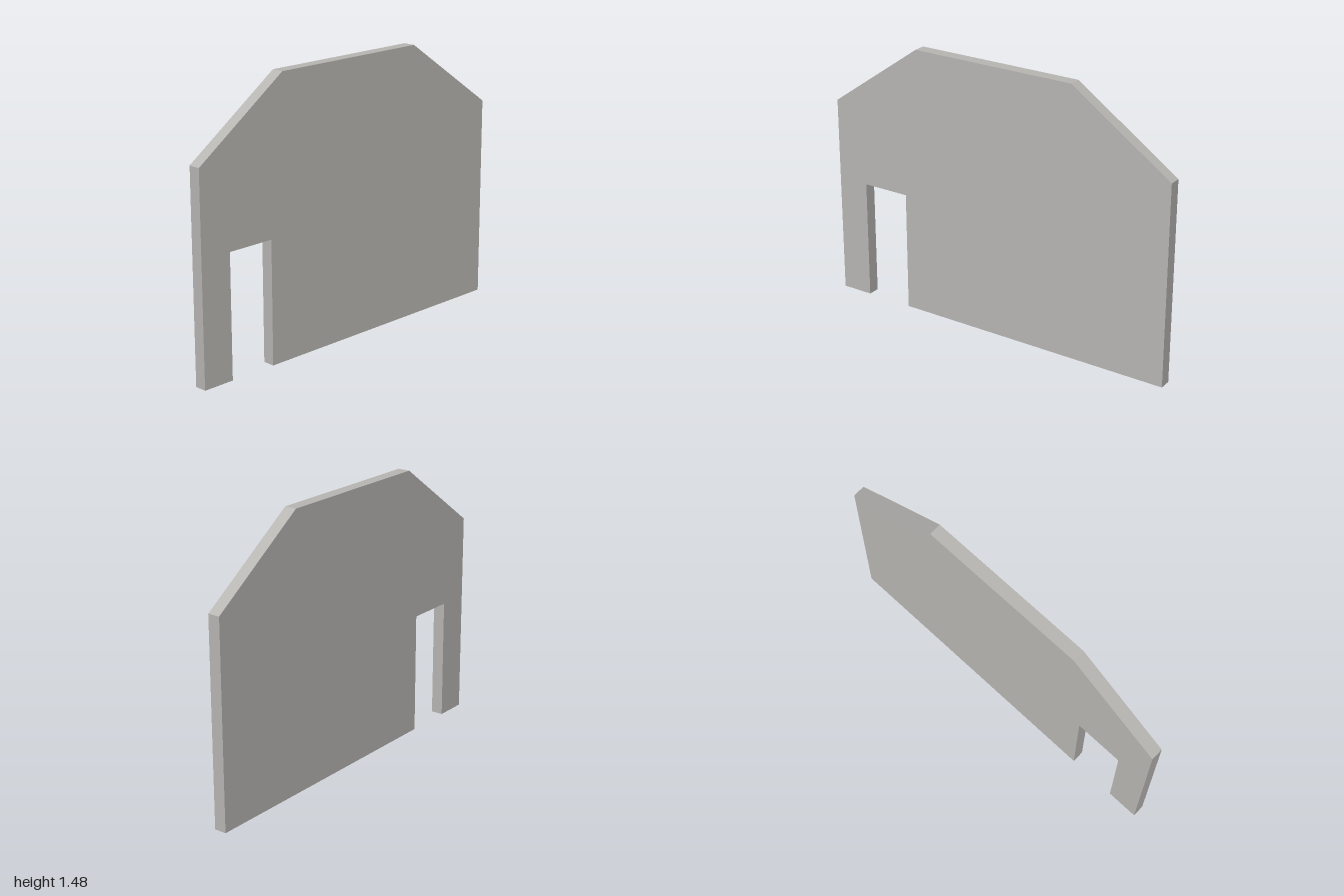
import * as THREE from 'three';

export function createModel() {
  const group = new THREE.Group();
  group.name = 'gableWall';

  const plaster = new THREE.MeshStandardMaterial({ color: 0xb8b6b3 });
  plaster.name = 'warm grey';

  // Wall outline, counter-clockwise, with the doorway notched into the bottom edge
  const thickness = 0.066;
  const outline = [
    [-1, 0], [-0.825, 0], [-0.825, 0.657], [-0.56, 0.657], [-0.56, 0],
    [1, 0], [1, 1.093], [0.444, 1.476], [-0.475, 1.476], [-1, 1.103],
  ];
  const shape = new THREE.Shape(outline.map(([x, y]) => new THREE.Vector2(x, y)));

  // Flat slab centred on z = 0
  const geometry = new THREE.ExtrudeGeometry(shape, { depth: thickness, bevelEnabled: false });
  geometry.translate(0, 0, -thickness / 2);

  const wall = new THREE.Mesh(geometry, plaster);
  wall.name = 'wallWithDoorway';
  group.add(wall);
  return group;
}
